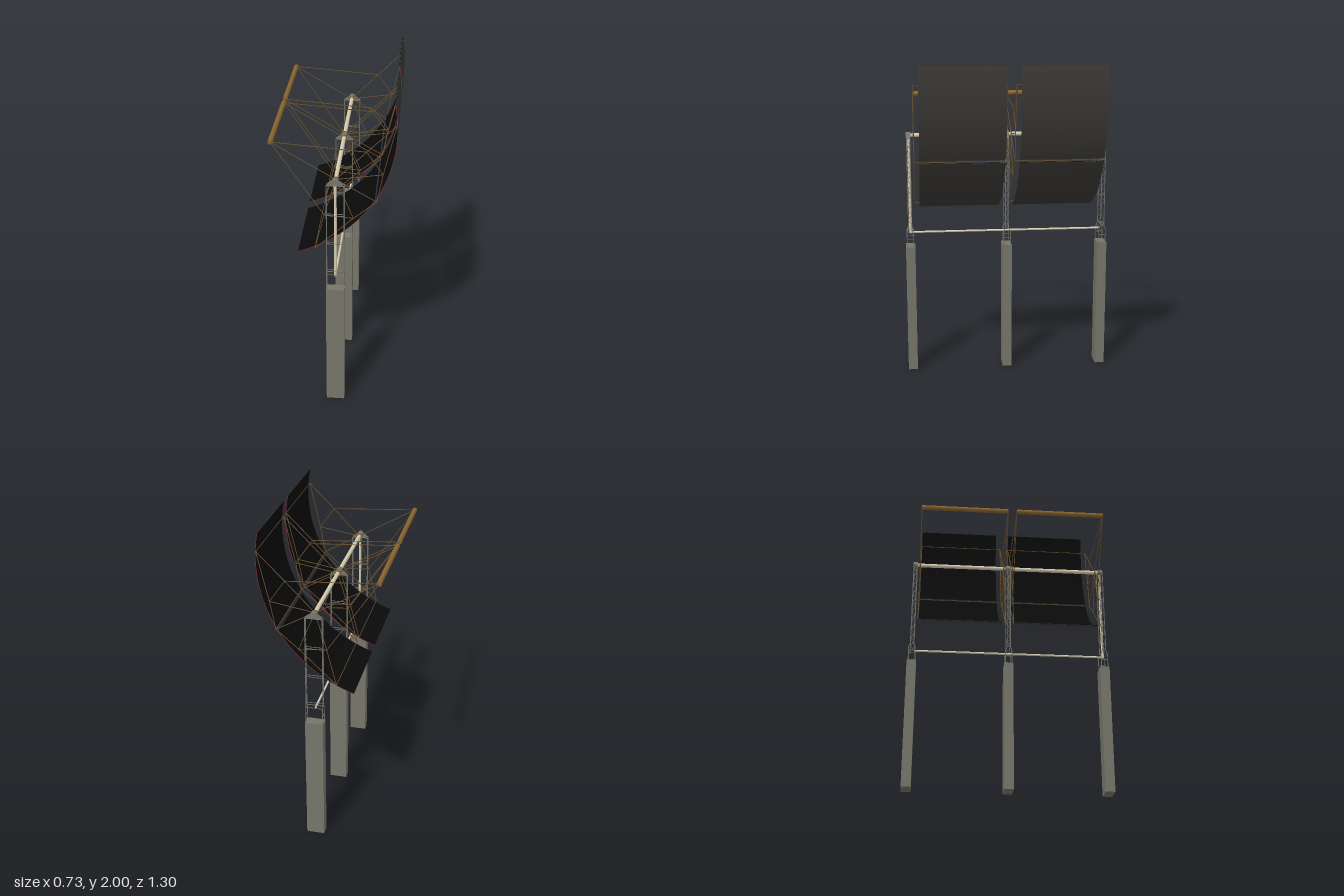
import * as THREE from 'three';
import { toCreasedNormals } from 'three/addons/utils/BufferGeometryUtils.js';

const mat = (color) => new THREE.MeshStandardMaterial({ color });
const concrete = mat(0x76756a), steel = mat(0x77776f), cream = mat(0xd8cdb2);
const bronze = mat(0x8a6530), strut = mat(0x6b5230);
const black = mat(0x0a0a0a), backing = mat(0x3a3733), rim = mat(0x7a2436);

const AXIS_X = 0.02, AXIS_Y = 1.545;           // pivot of the collector
const ARC_X = -0.481, ARC_Y = 1.835, ARC_R = 0.845; // mirror curvature

function add(parent, name, geometry, material, x = 0, y = 0, z = 0) {
  const mesh = new THREE.Mesh(geometry, material);
  mesh.name = name;
  mesh.position.set(x, y, z);
  parent.add(mesh);
  return mesh;
}

// Round bar between two points
function bar(parent, name, a, b, r, material, sides = 6) {
  const p = new THREE.Vector3(...a), q = new THREE.Vector3(...b);
  const d = q.clone().sub(p);
  const mesh = add(parent, name, new THREE.CylinderGeometry(r, r, d.length(), sides), material);
  mesh.position.copy(p).add(q).multiplyScalar(0.5);
  mesh.quaternion.setFromUnitVectors(new THREE.Vector3(0, 1, 0), d.normalize());
  return mesh;
}

// Curved sheet: an arc band in x/y, drawn out along z
function sheet(parent, name, r0, r1, a0, a1, z0, z1, materials) {
  const shape = new THREE.Shape();
  shape.absarc(ARC_X, ARC_Y, r1, a0, a1, false);
  shape.absarc(ARC_X, ARC_Y, r0, a1, a0, true);
  const geo = new THREE.ExtrudeGeometry(shape, { depth: z1 - z0, bevelEnabled: false, curveSegments: 20 });
  add(parent, name, toCreasedNormals(geo, 0.5), materials, 0, 0, z0);
}

// One collector: mirrors, end frames, long rails and receiver tube
function collector(z0, z1, m0, m1) {
  const g = new THREE.Group();
  g.name = 'collector';
  for (const [label, a0, a1] of [['upper', -0.514, 0.196], ['lower', -1.245, -0.542]]) {
    sheet(g, label + 'Mirror', ARC_R - 0.002, ARC_R, a0, a1, m0, m1, [rim, black]);
    sheet(g, label + 'MirrorBacking', ARC_R, ARC_R + 0.002, a0, a1, m0, m1, [rim, backing]);
  }
  const P = {
    R: [-0.35, 1.765], A: [0.195, 1.725], B: [0.36, 1.89], C: [0.29, 1.587], D: [0.257, 1.41],
    E: [0.122, 1.295], F: [-0.048, 1.31], G: [-0.105, 1.08], H: [AXIS_X, AXIS_Y],
  };
  const links = 'RA AB AC BC CD DE EF EG FG RF HR HA HC HD HE HF'.split(' ');
  for (const z of [z0, z1]) {
    const frame = new THREE.Group();
    frame.name = 'endFrame';
    for (const [a, b] of links) bar(frame, 'frameStrut', [...P[a], z], [...P[b], z], 0.0025, strut);
    const hub = add(frame, 'frameHub', new THREE.CylinderGeometry(0.018, 0.018, 0.01, 16), bronze, AXIS_X, AXIS_Y, z);
    hub.rotation.x = Math.PI / 2;
    g.add(frame);
  }
  for (const k of 'BDG') bar(g, 'longRail', [...P[k], z0], [...P[k], z1], 0.0025, strut);
  bar(g, 'receiverTube', [...P.R, z0], [...P.R, z1], 0.015, bronze, 12);
  bar(g, 'torqueTube', [...P.H, z0], [...P.H, z1], 0.0125, cream, 16);
  return g;
}

// One support: concrete post, lattice tower and bearing saddle
function support(z) {
  const g = new THREE.Group();
  g.name = 'support';
  g.position.set(AXIS_X, 0, z);
  add(g, 'post', new THREE.BoxGeometry(0.112, 0.83, 0.06), concrete, 0, 0.415, 0);

  const X = 0.052, ZB = 0.021, Z = 0.011, Y0 = 0.83, Y1 = 0.945, Y2 = 1.525;
  for (const s of [-1, 1]) {
    for (const t of [-1, 1]) {
      bar(g, 'baseLeg', [s * X, Y0, t * ZB], [s * X, 0.92, t * ZB], 0.0025, steel);
      bar(g, 'baseShoulder', [s * X, 0.92, t * ZB], [s * X, Y1, t * Z], 0.0025, steel);
      bar(g, 'towerLeg', [s * X, Y1, t * Z], [s * X, Y2, t * Z], 0.0025, steel);
      bar(g, 'topBrace', [s * X, Y2, t * Z], [s * 0.022, Y2 + 0.022, t * Z], 0.0025, steel);
    }
    // Zigzag lacing on the narrow sides
    const n = 18, h = (Y2 - Y1) / n;
    for (let i = 0; i < n; i++) {
      const e = i % 2 ? 1 : -1;
      bar(g, 'lacing', [s * X, Y1 + i * h, -e * Z], [s * X, Y1 + (i + 1) * h, e * Z], 0.0015, steel, 4);
    }
    bar(g, 'shoulderTie', [s * X, Y1, -Z], [s * X, Y1, Z], 0.0025, steel);
    bar(g, 'baseTie', [s * X, 0.88, -ZB], [s * X, 0.88, ZB], 0.0025, steel);
    // Cross ties on the wide sides
    for (const y of [0.93, 0.95, 1.14, 1.33, Y2]) {
      const w = y < Y1 ? 0.017 : Z;
      bar(g, 'crossTie', [-X, y, s * w], [X, y, s * w], 0.002, steel);
    }
  }

  // Saddle plate, block and bearing ring
  const saddle = new THREE.Shape();
  saddle.moveTo(-0.045, 1.525);
  saddle.lineTo(0.045, 1.525);
  saddle.lineTo(0.02, 1.55);
  saddle.lineTo(-0.02, 1.55);
  add(g, 'saddle', new THREE.ExtrudeGeometry(saddle, { depth: 0.024, bevelEnabled: false }), steel, 0, 0, -0.012);
  const ring = add(g, 'bearing', new THREE.CylinderGeometry(0.021, 0.021, 0.03, 20), steel, 0, AXIS_Y, 0);
  ring.rotation.x = Math.PI / 2;
  return g;
}

export function createModel() {
  const model = new THREE.Group();
  model.name = 'troughCollector';
  model.add(collector(0.025, 0.587, 0.028, 0.556), collector(-0.589, -0.03, -0.587, -0.06));
  for (const z of [-0.62, 0, 0.62]) model.add(support(z));

  // Pivot shaft through the bearings
  bar(model, 'pivotShaft', [AXIS_X, AXIS_Y, -0.63], [AXIS_X, AXIS_Y, 0.63], 0.0115, cream, 16);

  // Feed pipe down the front tower and along the foot of the row
  const pipe = new THREE.CurvePath();
  const v = (y, z) => new THREE.Vector3(AXIS_X, y, z);
  bar(model, 'risingPipe', [AXIS_X, 0.917, 0.618], [AXIS_X, AXIS_Y, 0.618], 0.0085, cream, 12);
  add(model, 'pipeElbow', new THREE.SphereGeometry(0.0095, 12, 8), cream, AXIS_X, 0.917, 0.618);
  bar(model, 'footPipe', [AXIS_X, 0.917, -0.605], [AXIS_X, 0.917, 0.618], 0.0065, cream, 12);
  return model;
}
